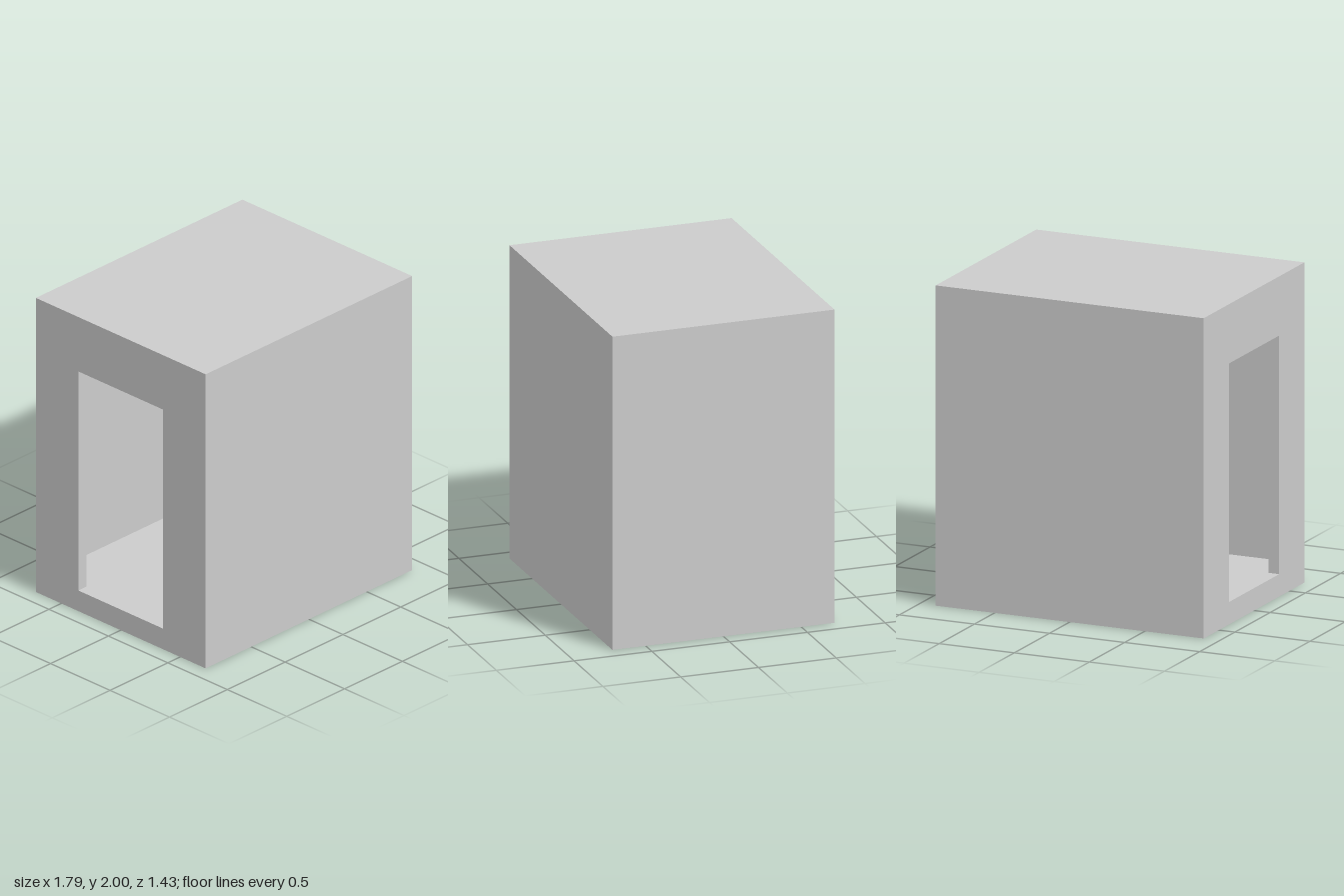
import * as THREE from 'three';

const W = 1.786, H = 2, D = 1.428; // outer size
const T = 0.07;                    // wall and roof thickness
const FLOOR = 0.14;                // floor slab height
const DOOR_HALF = 0.357, DOOR_TOP = 1.63;

export function createModel() {
  const group = new THREE.Group();
  group.name = 'cabin';
  const material = new THREE.MeshStandardMaterial({ color: 0xcccccc, flatShading: true });

  function add(name, geometry, x, y, z) {
    const mesh = new THREE.Mesh(geometry, material);
    mesh.name = name;
    mesh.position.set(x, y, z);
    group.add(mesh);
    return mesh;
  }

  const wallH = H - FLOOR - T;
  const wallY = FLOOR + wallH / 2;

  // Floor slab and roof
  add('floor', new THREE.BoxGeometry(W, FLOOR, D), 0, FLOOR / 2, 0);
  add('roof', new THREE.BoxGeometry(W, T, D), 0, H - T / 2, 0);

  // Solid walls
  add('frontWall', new THREE.BoxGeometry(W, wallH, T), 0, wallY, (D - T) / 2);
  add('backWall', new THREE.BoxGeometry(W, wallH, T), 0, wallY, -(D - T) / 2);
  add('leftWall', new THREE.BoxGeometry(T, wallH, D - 2 * T), (W - T) / 2, wallY, 0);

  // Wall with the doorway, an upside-down U standing on the floor slab
  const half = D / 2 - T;
  const outline = [
    [-half, FLOOR], [-DOOR_HALF, FLOOR], [-DOOR_HALF, DOOR_TOP], [DOOR_HALF, DOOR_TOP],
    [DOOR_HALF, FLOOR], [half, FLOOR], [half, H - T], [-half, H - T],
  ];
  const shape = new THREE.Shape(outline.map(([x, y]) => new THREE.Vector2(x, y)));
  const doorWall = new THREE.ExtrudeGeometry(shape, { depth: T, bevelEnabled: false });
  add('doorwayWall', doorWall, -W / 2 + T, 0, 0).rotation.y = -Math.PI / 2;

  return group;
}
